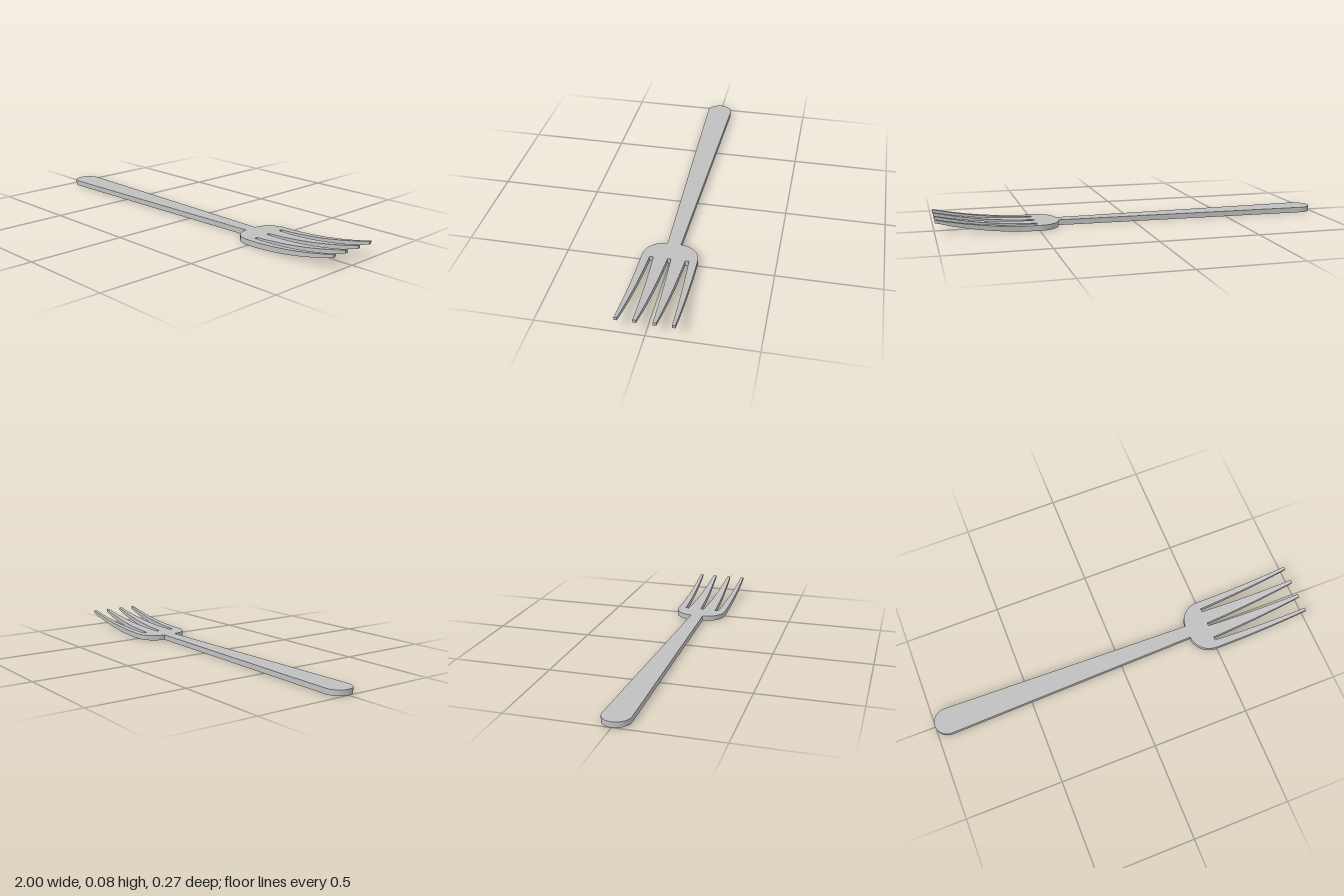
import * as THREE from 'three';

const THICK = 0.027;   // stock thickness
const ROOT = 0.505;    // x where the tines begin
const TIP = 1;

// Lay a plan outline flat and give it the stock thickness
function plate(shape, material, name) {
  const geometry = new THREE.ExtrudeGeometry(shape, { depth: THICK, bevelEnabled: false, curveSegments: 14 });
  geometry.rotateX(-Math.PI / 2);
  const mesh = new THREE.Mesh(geometry, material);
  mesh.name = name;
  return mesh;
}

// Tapered bar that curves upward; root and tip are [z min, z max]
function tine(root, tip, material, name) {
  const geometry = new THREE.BoxGeometry(1, 1, 1, 16, 1, 1);
  const p = geometry.attributes.position;
  for (let i = 0; i < p.count; i++) {
    const t = p.getX(i) + 0.5;
    const side = p.getZ(i) > 0 ? 1 : 0;
    const bottom = 0.068 * t * t;
    const top = THICK + 0.056 * t * t;
    p.setXYZ(
      i,
      THREE.MathUtils.lerp(ROOT, TIP, t),
      p.getY(i) > 0 ? top : bottom,
      THREE.MathUtils.lerp(root[side], tip[side], t)
    );
  }
  geometry.computeVertexNormals();
  const mesh = new THREE.Mesh(geometry, material);
  mesh.name = name;
  return mesh;
}

export function createModel() {
  const steel = new THREE.MeshStandardMaterial({ color: 0xc0c0c0 });
  steel.name = 'steel';
  const fork = new THREE.Group();
  fork.name = 'fork';

  // Handle: widens toward a rounded end
  const handle = new THREE.Shape();
  handle.moveTo(0.395, 0.033);
  handle.lineTo(-0.93, 0.068);
  handle.absellipse(-0.93, 0, 0.07, 0.068, Math.PI / 2, Math.PI * 1.5, false);
  handle.lineTo(0.395, -0.033);
  handle.closePath();
  fork.add(plate(handle, steel, 'handle'));

  // Head: rounded shoulders behind a straight front edge
  const head = new THREE.Shape();
  head.moveTo(ROOT, -0.135);
  head.lineTo(ROOT, 0.135);
  head.absarc(0.495, 0.03, 0.105, Math.PI / 2, Math.PI, false);
  head.absarc(0.495, -0.03, 0.105, Math.PI, Math.PI * 1.5, false);
  head.closePath();
  fork.add(plate(head, steel, 'head'));

  // Four tines, mirrored about the centre line
  const tines = new THREE.Group();
  tines.name = 'tines';
  const mirror = ([a, b]) => [-b, -a];
  const pairs = [
    ['outer', [0.095, 0.135], [0.12, 0.135]],
    ['inner', [0.008, 0.077], [0.036, 0.052]],
  ];
  for (const [label, root, tip] of pairs) {
    tines.add(tine(root, tip, steel, `${label}TineFront`));
    tines.add(tine(mirror(root), mirror(tip), steel, `${label}TineBack`));
  }
  fork.add(tines);
  return fork;
}
